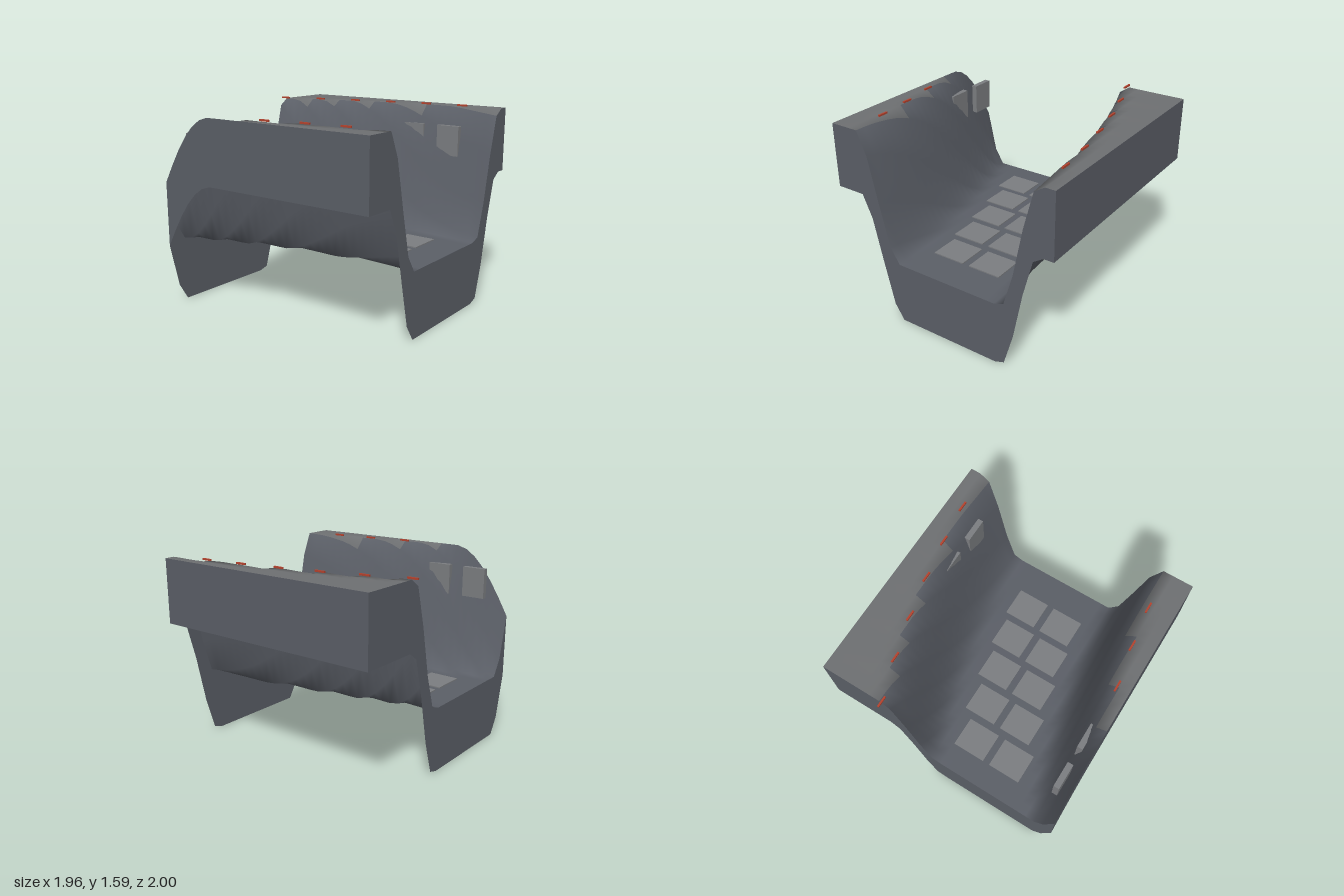
import * as THREE from 'three';

const HALF = 0.98, N = 24, Z_BACK = -0.96, Z_FRONT = 1, DROP = 0.525;

// centre line of the curving trench, and its ground height
const centre = z => -0.07 + 0.21 * z - 0.08 * z * z;
const floorY = z => 0.525 + 0.015 * (1 - z * z);
const rise = (x, z) => THREE.MathUtils.smoothstep(Math.abs(x - centre(z)), 0.48, 0.8);
function height(x, z) {
  const ripple = 0.004 * Math.sin(z * 19 + x * 3) * (1 - Math.abs(x) / HALF);
  return THREE.MathUtils.lerp(floorY(z), 1.572 + ripple, rise(x, z));
}

function material(name, color) {
  const m = new THREE.MeshStandardMaterial({ color, side: THREE.DoubleSide });
  m.name = name;
  return m;
}

// height-field sheet; cells are grouped into slope and rim
function terrainGeometry() {
  const geo = new THREE.PlaneGeometry(2 * HALF, Z_FRONT - Z_BACK, N, N);
  geo.rotateX(-Math.PI / 2).translate(0, 0, (Z_FRONT + Z_BACK) / 2);
  const p = geo.attributes.position;
  for (let i = 0; i < p.count; i++) p.setY(i, height(p.getX(i), p.getZ(i)));
  const old = geo.index.array, slope = [], rim = [];
  for (let i = 0; i < old.length; i += 6) {
    const cell = Array.from(old.slice(i, i + 6));
    const lowest = Math.min(...cell.map(v => rise(p.getX(v), p.getZ(v))));
    (lowest > 0.9 ? rim : slope).push(...cell);
  }
  geo.setIndex([...slope, ...rim]);
  geo.clearGroups();
  geo.addGroup(0, slope.length, 0);
  geo.addGroup(slope.length, rim.length, 1);
  geo.computeVertexNormals();
  return geo;
}

// vertical strip hanging from one border; at(t) gives [x, z], walked so the outside is in front
function skirtGeometry(at) {
  const pos = [], index = [];
  for (let i = 0; i <= N; i++) {
    const [x, z] = at(i / N), y = height(x, z);
    pos.push(x, y, z, x, y - DROP, z);
    if (i < N) {
      const a = 2 * i;
      index.push(a, a + 1, a + 2, a + 2, a + 1, a + 3);
    }
  }
  const geo = new THREE.BufferGeometry();
  geo.setAttribute('position', new THREE.Float32BufferAttribute(pos, 3));
  geo.setIndex(index);
  geo.computeVertexNormals();
  return geo;
}

export function createModel() {
  const model = new THREE.Group();
  model.name = 'trenchSection';
  const ground = material('slate ground', 0x5b5f67);
  const rim = material('pale rim', 0x6e7072);
  const plate = material('light grey plate', 0x7c7e81);
  const red = material('red marker', 0xb5432e);

  const add = (name, geo, mat, x = 0, y = 0, z = 0) => {
    const mesh = new THREE.Mesh(geo, mat);
    mesh.name = name;
    mesh.position.set(x, y, z);
    model.add(mesh);
  };

  add('trenchSurface', terrainGeometry(), [ground, rim]);

  // border skirts
  const x = t => HALF * (2 * t - 1), z = t => THREE.MathUtils.lerp(Z_BACK, Z_FRONT, t);
  add('frontSkirt', skirtGeometry(t => [x(t), Z_FRONT]), ground);
  add('backSkirt', skirtGeometry(t => [x(1 - t), Z_BACK]), ground);
  add('leftSkirt', skirtGeometry(t => [HALF, z(1 - t)]), ground);
  add('rightSkirt', skirtGeometry(t => [-HALF, z(t)]), ground);

  // two rows of floor plates following the bend
  const tile = new THREE.BoxGeometry(0.28, 0.009, 0.25);
  for (let i = 0; i < 5; i++) {
    const tz = -0.635 + 0.31 * i;
    for (const s of [-1, 1])
      add('floorPlate', tile, plate, centre(tz) + s * 0.17, floorY(tz) + 0.005, tz);
  }

  // straight rows of upright wall panels, partly buried in the banks
  const panel = new THREE.BoxGeometry(0.045, 0.25, 0.2);
  for (let i = 0; i < 5; i++)
    for (const s of [-1, 1])
      add('wallPanel', panel, plate, -0.075 + s * 0.797, 1.295, -0.7 + 0.33 * i);

  // red markers along both rims
  const marker = new THREE.BoxGeometry(0.014, 0.014, 0.088);
  for (let i = 0; i < 6; i++) {
    const mz = -0.956 + 0.325 * i;
    for (const s of [-1, 1]) {
      if (s < 0 && i < 3) continue;
      add('rimMarker', marker, red, centre(mz) + s * 0.815, 1.58, mz);
    }
  }
  return model;
}
